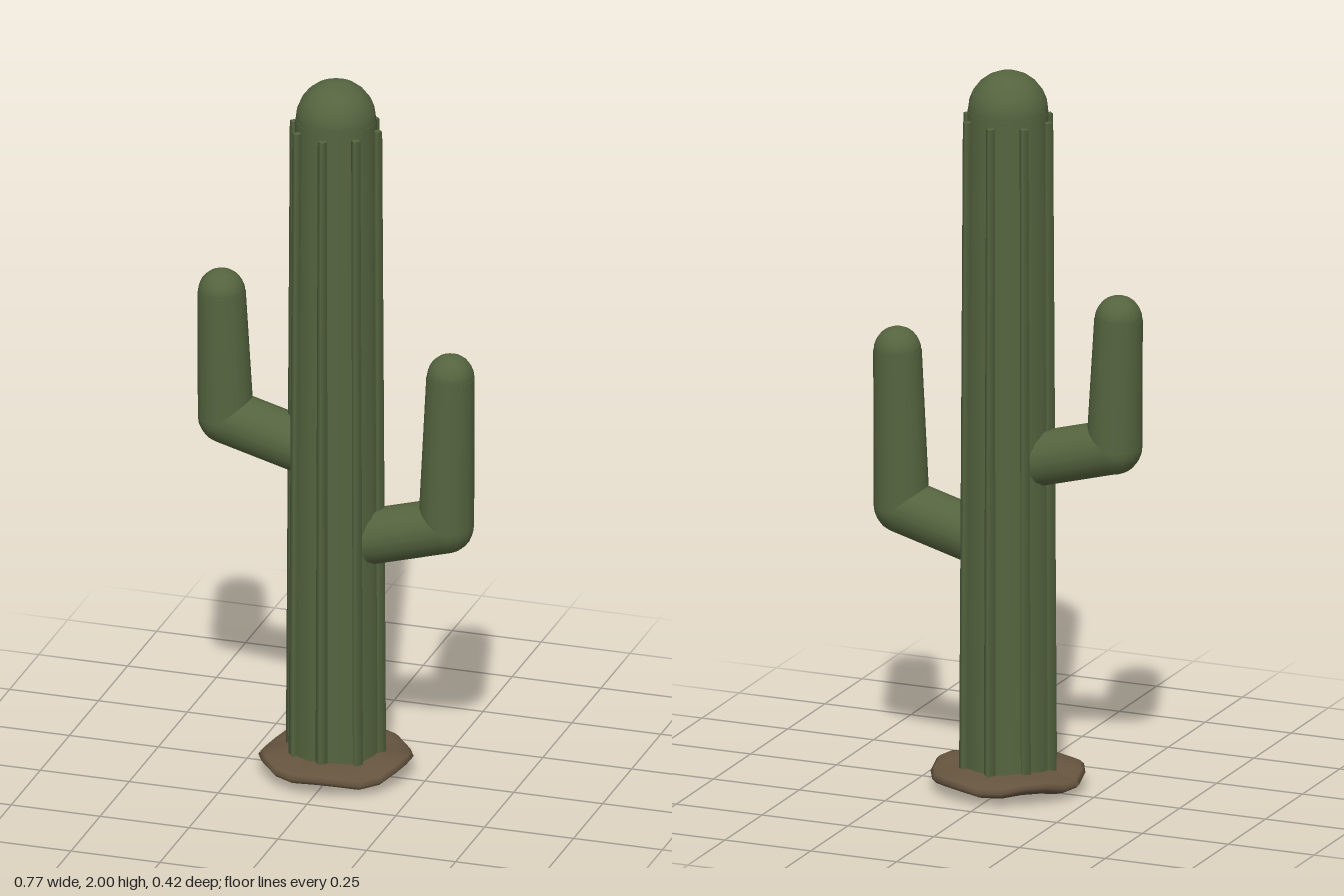
import * as THREE from 'three';

export function createModel() {
  const model = new THREE.Group();
  model.name = 'cactus';
  const green = new THREE.MeshStandardMaterial({ color: 0x55643f });
  green.name = 'cactusGreen';
  const brown = new THREE.MeshStandardMaterial({ color: 0x65543f });
  brown.name = 'soilBrown';

  const add = (parent, name, geometry, material = green) => {
    const mesh = new THREE.Mesh(geometry, material);
    mesh.name = name;
    parent.add(mesh);
    return mesh;
  };

  // Tapered limb between two points
  const limb = (parent, name, a, b, ra, rb, sides = 16) => {
    const from = new THREE.Vector3(...a), to = new THREE.Vector3(...b);
    const dir = to.clone().sub(from);
    const mesh = add(parent, name, new THREE.CylinderGeometry(rb, ra, dir.length(), sides));
    mesh.position.copy(from).add(to).multiplyScalar(0.5);
    mesh.quaternion.setFromUnitVectors(new THREE.Vector3(0, 1, 0), dir.normalize());
    return mesh;
  };
  const ball = (parent, name, p, r, sides = 16) =>
    add(parent, name, new THREE.SphereGeometry(r, sides, 12)).position.set(...p);

  // Trunk with a domed top
  limb(model, 'trunk', [0, 0.03, 0], [0, 1.89, 0], 0.125, 0.109, 20);
  ball(model, 'trunkDome', [0, 1.892, 0], 0.108, 24);

  // Eight thin diamond-section ribs, leaning in with the trunk
  for (let i = 0; i < 8; i++) {
    const a = i * Math.PI / 4, c = Math.cos(a), s = Math.sin(a);
    limb(model, 'rib', [c * 0.124, 0.04, s * 0.124], [c * 0.117, 1.87, s * 0.117], 0.017, 0.013, 4);
  }

  // Side arms: sloping branch, rounded elbow, upright and dome
  const arm = (name, side, rootY, elbowY, tipY) => {
    const g = new THREE.Group();
    g.name = name;
    model.add(g);
    const elbow = [side * 0.31, elbowY, 0], tip = [side * 0.322, tipY, 0];
    limb(g, 'branch', [side * 0.06, rootY, 0], elbow, 0.075, 0.075);
    ball(g, 'elbow', elbow, 0.075);
    limb(g, 'upright', elbow, tip, 0.075, 0.065);
    ball(g, 'armDome', tip, 0.064);
  };
  arm('leftArm', 1, 0.68, 0.75, 1.183);
  arm('rightArm', -1, 0.92, 0.988, 1.347);

  // Flattened soil mound with a wavy rim
  const mound = new THREE.SphereGeometry(0.208, 20, 10);
  const p = mound.attributes.position;
  for (let i = 0; i < p.count; i++) {
    const x = p.getX(i), z = p.getZ(i);
    const r = Math.hypot(x, z) / 0.208, a = Math.atan2(z, x);
    const wave = 0.009 * Math.sin(5 * a + 0.8) + 0.005 * Math.cos(3 * a);
    p.setY(i, 0.037 + p.getY(i) * 0.178 + wave * r * r + 0.006 * r * r);
  }
  mound.computeVertexNormals();
  add(model, 'soilMound', mound, brown);

  return model;
}
